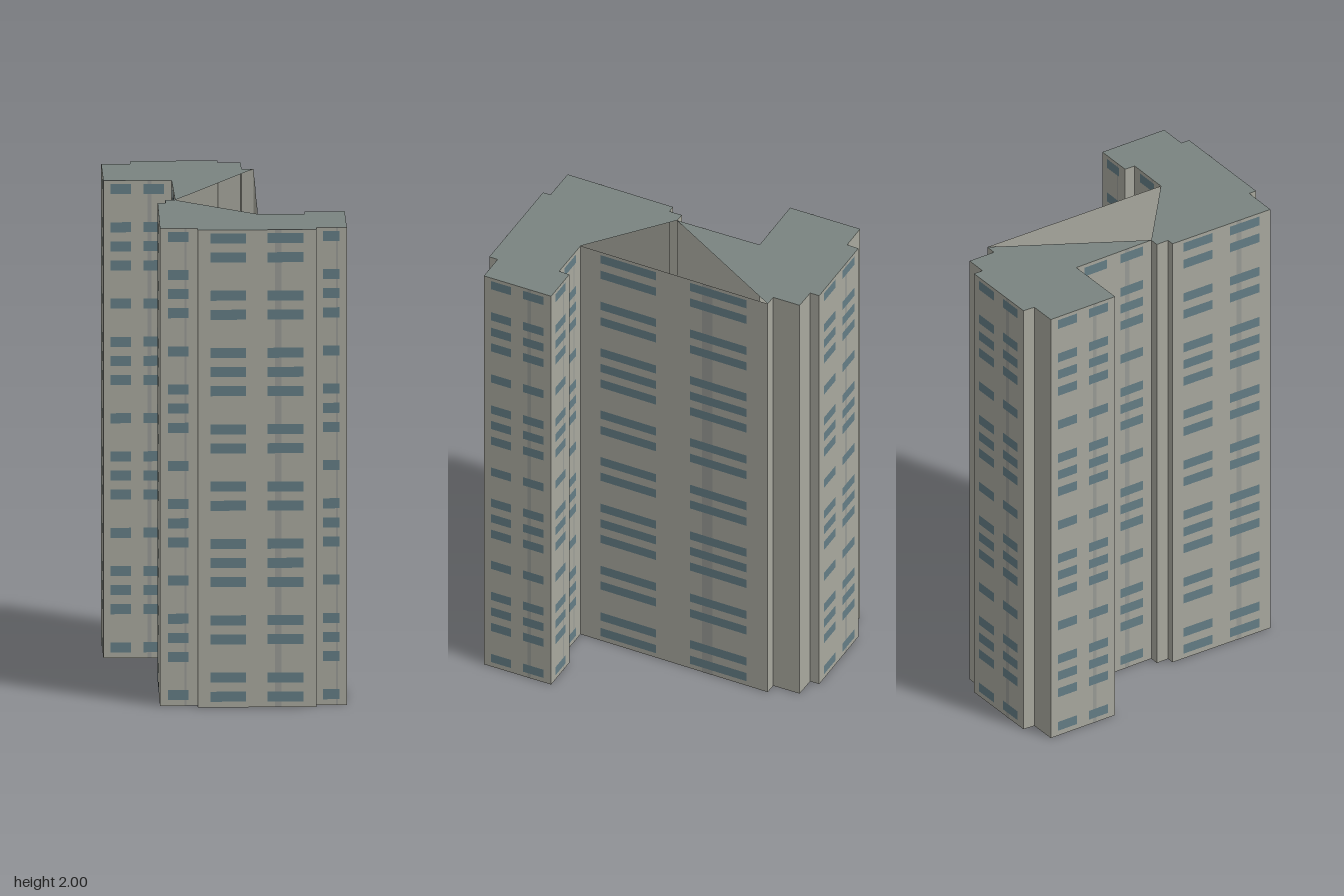
import * as THREE from 'three';
import { mergeGeometries } from 'three/addons/utils/BufferGeometryUtils.js';

const HEIGHT = 2;
const FLOOR = 0.08;

// Footprint corners (x, z): back wing, then front wing, then the left side
const BACK_WING = [
  [-0.11, -0.335], [-0.38, -0.405], [-0.30, -0.715], [-0.185, -0.685],
  [-0.17, -0.735], [0.175, -0.645], [0.165, -0.605], [0.255, -0.58],
  [0.225, -0.463], [0.272, -0.45],
];
const FRONT_WING = [
  [0.05, 0.38], [0.235, 0.43], [0.248, 0.385], [0.407, 0.427],
  [0.33, 0.725], [0.21, 0.693], [0.20, 0.73], [-0.27, 0.605],
  [-0.262, 0.572], [-0.41, 0.532], [-0.285, 0.065], [-0.253, 0.073],
  [-0.24, 0.018], [-0.20, 0.03],
];
const NECK = [-0.20, 0.03];

// Floors that carry windows on long and on short walls
const LONG_ROWS = [0, 1, 3, 4, 6, 7, 8, 10, 11, 13, 14, 16, 17, 18, 20, 21, 23, 24];
const SHORT_ROWS = [0, 2, 3, 4, 6, 8, 9, 10, 12, 14, 15, 16, 18, 20, 21, 22, 24];

// Upright panel on wall a-b, spanning u0..u1 along it and y0..y1 up it
function panel(a, b, u0, u1, y0, y1, offset) {
  const dx = b[0] - a[0], dz = b[1] - a[1];
  const length = Math.hypot(dx, dz);
  const g = new THREE.PlaneGeometry((u1 - u0) * length, y1 - y0);
  g.translate(((u0 + u1) / 2 - 0.5) * length, (y0 + y1) / 2, offset);
  g.rotateY(Math.atan2(dz, -dx));
  g.translate((a[0] + b[0]) / 2, 0, (a[1] + b[1]) / 2);
  return g;
}

function roofOver(points) {
  const shape = new THREE.Shape(points.map(([x, z]) => new THREE.Vector2(x, -z)));
  return new THREE.ShapeGeometry(shape).rotateX(-Math.PI / 2).translate(0, HEIGHT, 0);
}

export function createModel() {
  const group = new THREE.Group();
  const add = (name, parts, color) => {
    const mesh = new THREE.Mesh(
      mergeGeometries(parts),
      new THREE.MeshStandardMaterial({ color, side: THREE.DoubleSide })
    );
    mesh.name = name;
    group.add(mesh);
  };

  const walls = [], windows = [], strips = [];
  const outline = [...BACK_WING, ...FRONT_WING];
  outline.forEach((a, i) => {
    const b = outline[(i + 1) % outline.length];
    const length = Math.hypot(b[0] - a[0], b[1] - a[1]);
    walls.push(panel(a, b, 0, 1, 0, HEIGHT, 0));
    if (length < 0.122) return;

    // One window column on narrow walls, two on the others
    const columns = length < 0.23 ? [[0.22, 0.76]] : [[0.107, 0.405], [0.587, 0.888]];
    const rows = length > 0.4 ? LONG_ROWS : SHORT_ROWS;
    strips.push(panel(a, b, 0.65, 0.705, 0, HEIGHT, 0.001));
    for (const [u0, u1] of columns) {
      for (const row of rows) {
        const y = 0.045 + row * FLOOR;
        windows.push(panel(a, b, u0, u1, y - 0.021, y + 0.021, 0.002));
      }
    }
  });

  add('walls', walls, 0xa8a89e);
  add('wallStrips', strips, 0x989a95);
  add('windows', windows, 0x647d85);
  // The roof covers both wings and leaves the court between them open
  add('roof', [roofOver([...BACK_WING, NECK]), roofOver(FRONT_WING)], 0x7a8480);
  return group;
}
